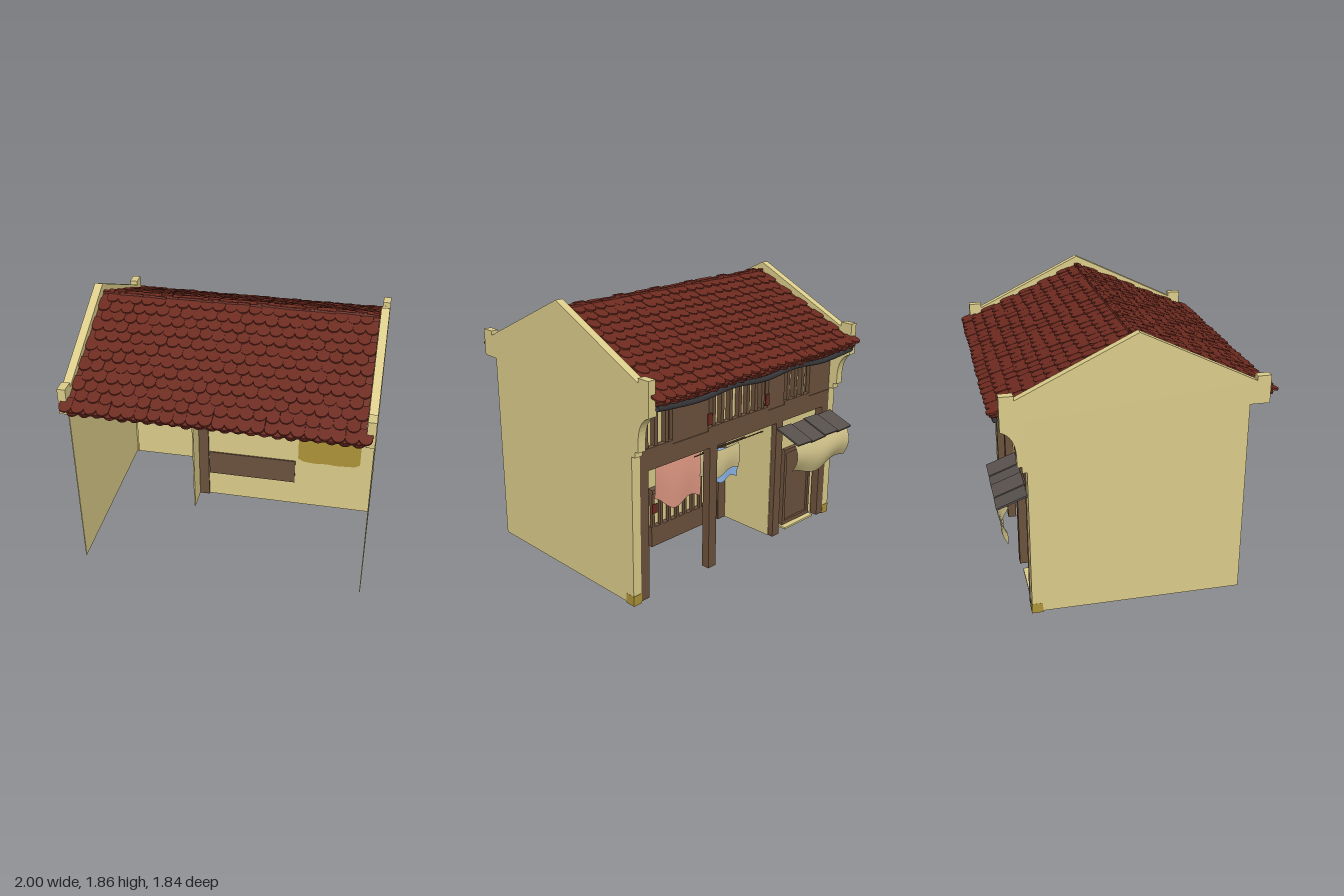
import * as THREE from 'three';
import { mergeGeometries } from 'three/addons/utils/BufferGeometryUtils.js';

const mat = (name, color) => {
  const m = new THREE.MeshStandardMaterial({ color, side: THREE.DoubleSide });
  m.name = name;
  return m;
};

export function createModel() {
  const model = new THREE.Group();
  const plaster = mat('plaster', 0xdacb89), wood = mat('brown wood', 0x6b513c);
  const tileRed = mat('roof tile red', 0x6c2a1f), gold = mat('ochre stain', 0xad9338);
  const pink = mat('pink cloth', 0xd8937e), blue = mat('blue cloth', 0x93c0f5);
  const canvas = mat('canvas cloth', 0xcfc189), iron = mat('gutter grey', 0x363639);
  const sheet = mat('awning grey', 0x57504c);

  let seed = 7;
  const rand = () => ((seed = (seed * 16807) % 2147483647) / 2147483647);
  const add = (name, geo, material) => {
    const m = new THREE.Mesh(geo, material);
    m.name = name;
    model.add(m);
    return m;
  };
  const boxGeo = (x0, x1, y0, y1, z0, z1) =>
    new THREE.BoxGeometry(x1 - x0, y1 - y0, z1 - z0).translate((x0 + x1) / 2, (y0 + y1) / 2, (z0 + z1) / 2);
  const box = (name, m, ...b) => add(name, boxGeo(...b), m);

  // Side walls: thin below, thick gable parapet above, corbel and pillar at the street end
  const gable = new THREE.Shape([
    [-0.845, 1.34], [0.845, 1.34], [0.845, 1.525], [0.755, 1.525], [0.755, 1.495], [0, 1.86],
    [-0.755, 1.495], [-0.755, 1.525], [-0.845, 1.525],
  ].map((p) => new THREE.Vector2(...p)));
  const corbel = new THREE.Shape();
  corbel.moveTo(-0.845, 1.34);
  corbel.lineTo(-0.845, 1.3);
  corbel.quadraticCurveTo(-0.755, 1.27, -0.75, 1.13);
  for (const p of [[-0.75, 1.06], [-0.72, 1.06], [-0.72, 1.02], [-0.65, 1.02], [-0.65, 1.34]]) corbel.lineTo(...p);
  const slice = (shape, depth, outer, s) =>
    new THREE.ExtrudeGeometry(shape, { depth, bevelEnabled: false, curveSegments: 8 })
      .rotateY(-Math.PI / 2).translate(s > 0 ? outer : -outer + depth, 0, 0);
  for (const s of [-1, 1]) {
    const span = (a, b) => (s > 0 ? [a, b] : [-b, -a]);
    box('sideWall', plaster, ...span(0.994, 1), 0.01, 1.34, -0.69, 0.715);
    add('gableParapet', slice(gable, 0.055, 1, s), plaster);
    add('corbel', slice(corbel, 0.06, 1, s), plaster);
    box('pillar', plaster, ...span(0.935, 1), 0.07, 1.02, -0.69, -0.62);
    box('pillarBase', gold, ...span(0.934, 1.001), 0, 0.07, -0.692, -0.619);
  }

  // Roof: overlapping round-ended tiles on a thin deck, one group per slope
  const slope = 0.417, rows = 12, step = 0.082, pitch = 0.082;
  const tile = new THREE.Shape();
  tile.moveTo(0.041, -0.075);
  tile.lineTo(0.041, 0);
  tile.absarc(0, 0, 0.041, 0, Math.PI, false);
  tile.lineTo(-0.041, -0.075);
  const tileGeo = new THREE.ExtrudeGeometry(tile, { depth: 0.013, bevelEnabled: false, curveSegments: 7 })
    .rotateX(Math.PI / 2);
  for (const s of [1, -1]) {
    const tiles = [];
    const lay = (r, n, lift) => {
      for (let i = 0; i < n; i++) {
        tiles.push(tileGeo.clone()
          .rotateY((rand() - 0.5) * 0.1)
          .rotateX(-0.1 + (rand() - 0.5) * 0.05)
          .translate((i - (n - 1) / 2) * pitch, lift + rand() * 0.006, (r + 1) * step - 0.038 + rand() * 0.01));
      }
    };
    for (let r = 0; r < rows; r++) lay(r, r === rows - 1 ? 24 : r % 2 ? 23 : 22, 0.012);
    lay(rows - 1, 23, -0.006);
    lay(rows - 1, 23, -0.024);
    const slopeGroup = new THREE.Group();
    slopeGroup.name = 'roofSlope';
    const laid = new THREE.Mesh(mergeGeometries(tiles), tileRed);
    laid.name = 'roofTiles';
    const deck = new THREE.Mesh(boxGeo(-0.942, 0.942, -0.025, 0, 0, 0.92), tileRed);
    deck.name = 'roofDeck';
    for (const m of [laid, deck]) m.rotation.x = slope;
    slopeGroup.add(laid, deck);
    slopeGroup.position.y = 1.797;
    slopeGroup.rotation.y = s > 0 ? 0 : Math.PI;
    model.add(slopeGroup);
    box('fascia', tileRed, -0.942, 0.942, 1.34, 1.42, s * 0.83 - 0.008, s * 0.83 + 0.008);
  }
  // Ridge tiles, a few standing proud
  const caps = [];
  for (let i = 0; i < 23; i++) {
    const x = (i - 11) * pitch, top = 1.808 + (i % 4 === 1 ? 0.015 : rand() * 0.006);
    caps.push(boxGeo(x - 0.038, x + 0.038, 1.78, top, -0.014, 0.014));
  }
  add('ridgeTiles', mergeGeometries(caps), tileRed);

  // Sagging gutter under the street eave
  const gutterPath = new THREE.CatmullRomCurve3(
    [-0.93, -0.6, -0.3, 0, 0.3, 0.6, 0.95].map((x, i) => new THREE.Vector3(x, i % 2 ? 1.33 : 1.352, -0.862)));
  add('gutter', new THREE.TubeGeometry(gutterPath, 28, 0.018, 6), iron);

  // Inner walls: shop front, partition and recessed porch wall
  box('shopWall', plaster, -0.98, -0.34, 0.01, 0.9, -0.615, -0.605);
  box('partition', plaster, -0.35, -0.34, 0.01, 0.9, -0.65, 0.02);
  box('porchWall', plaster, -0.34, 0.994, 0.01, 0.9, -0.175, -0.165);
  box('porchPost', wood, -0.34, -0.265, 0.01, 0.89, -0.22, -0.15);
  box('porchCeiling', wood, -0.93, 0.93, 0.885, 0.9, -0.66, -0.17);

  // Upper storey: beam, boards, screens of bars and inner lining
  box('mainBeam', wood, -0.935, 0.935, 0.89, 1.01, -0.69, -0.655);
  box('topRail', wood, -0.935, 0.935, 1.28, 1.4, -0.69, -0.655);
  box('innerBand', wood, -0.998, 0.998, 1.01, 1.3, -0.635, -0.625);
  const screens = [[0.66, 0.93], [-0.25, 0.34], [-0.7, -0.42]];
  const boards = [[0.34, 0.66], [-0.42, -0.25], [-0.935, -0.7]];
  for (const [a, b] of screens) {
    box('screenBack', plaster, a, b, 1.01, 1.28, -0.645, -0.637);
    box('screenRail', wood, a, b, 1.01, 1.035, -0.69, -0.655);
  }
  for (const [a, b] of boards) box('upperBoard', wood, a, b, 1.01, 1.28, -0.685, -0.655);
  for (const x of [-0.63, -0.55, -0.47, -0.2, -0.13, -0.05, 0.03, 0.12, 0.2, 0.28, 0.7, 0.79, 0.87])
    box('screenBar', wood, x - 0.014, x + 0.014, 0.93, 1.28, -0.68, -0.636);
  for (const x of [-0.24, 0.325]) box('redPlate', tileRed, x - 0.015, x + 0.025, 1.05, 1.13, -0.692, -0.686);
  for (const x of [-0.22, 0.385]) box('redPlate', tileRed, x - 0.025, x + 0.025, 0.28, 0.35, -0.224, -0.216);

  // Street posts
  for (const x of [-0.9, -0.38, 0.29, 0.9]) box('streetPost', wood, x - 0.035, x + 0.035, 0.01, 0.89, -0.69, -0.63);

  // Doors: leaf with raised frame on the street side, stained panel inside
  const door = (x0, x1, top, z, stainBottom) => {
    box('doorLeaf', wood, x0, x1, 0.03, top, z - 0.018, z - 0.004);
    for (const x of [x0, x1 - 0.025]) box('doorJamb', wood, x, x + 0.025, 0.03, top, z - 0.035, z - 0.018);
    for (const y of [0.03, top - 0.03]) box('doorRail', wood, x0, x1, y, y + 0.03, z - 0.035, z - 0.018);
    const stain = new THREE.Shape();
    stain.moveTo(x0, top);
    for (let i = 0; i <= 12; i++) {
      const t = i / 12;
      stain.lineTo(x0 + (x1 - x0) * t, stainBottom + 0.003 * Math.sin(t * 17) + 0.03 * Math.pow(Math.abs(2 * t - 1), 12));
    }
    stain.lineTo(x1, top);
    add('innerStain', new THREE.ShapeGeometry(stain).translate(0, 0, z + 0.008), gold);
  };
  door(-0.82, -0.51, 0.63, -0.61, 0.335);
  door(0.43, 0.9, 0.8, -0.17, 0.42);
  box('doorStep', plaster, -0.83, -0.5, 0.01, 0.025, -0.68, -0.615);

  // Porch window with railing
  box('windowApron', wood, -0.26, 0.41, 0.22, 0.42, -0.165, -0.155);
  box('lowerPanel', wood, -0.26, 0.41, 0.02, 0.17, -0.215, -0.175);
  box('handRail', wood, -0.26, 0.41, 0.43, 0.46, -0.225, -0.175);
  for (let i = 0; i < 9; i++) {
    const x = -0.24 + i * 0.079;
    box('baluster', wood, x - 0.012, x + 0.012, 0.17, 0.43, -0.215, -0.19);
  }

  // Awning of overlapping sheets
  for (let i = 0; i < 4; i++) {
    const panel = box('awningSheet', sheet, -0.08, 0.08, -0.006, 0.006, -0.105, 0.105);
    panel.position.set(-0.88 + i * 0.15, 0.8 + (i % 2) * 0.008, -0.785);
    panel.rotation.set(-0.36, 0, (i % 2 ? 1 : -1) * 0.04);
  }
  const ledge = new THREE.CatmullRomCurve3(
    [-0.95, -0.8, -0.7, -0.58, -0.46, -0.35].map((x, i) => new THREE.Vector3(x, i % 2 ? 0.855 : 0.862, -0.6)));
  add('awningEdge', new THREE.TubeGeometry(ledge, 20, 0.008, 5), iron);

  // Hanging cloths with folds, uneven hems and a skew across the porch
  const cloth = (name, m, x0, x1, y0, y1, z, skew, depth = 0.012) => {
    const g = new THREE.PlaneGeometry(1, 1, 14, 8);
    const p = g.attributes.position;
    for (let i = 0; i < p.count; i++) {
      const u = p.getX(i) + 0.5, v = 0.5 - p.getY(i);
      const hem = 1 - 0.16 * Math.pow(Math.sin(u * 4 + 0.8), 2);
      p.setXYZ(i, x0 + (x1 - x0) * u, y1 - (y1 - y0) * v * hem - 0.02 * Math.sin(u * Math.PI),
        z + skew * (u - 0.5) * (x1 - x0) - depth * Math.sin(v * 3) + 0.006 * v * Math.sin(u * 9));
    }
    g.computeVertexNormals();
    add(name, g, m);
  };
  cloth('awningCurtain', canvas, -0.98, -0.4, 0.5, 0.78, -0.805, 0.03, 0.05);
  cloth('pinkCloth', pink, 0.68, 0.99, 0.36, 0.71, -0.4, 0);
  cloth('pinkSheet', pink, 0.08, 0.4, 0.33, 0.76, -0.3, 0.4);
  cloth('canvasCloth', canvas, -0.07, 0.28, 0.6, 0.8, -0.57, 0.1);
  cloth('blueCloth', blue, -0.2, -0.02, 0.44, 0.71, -0.4, 0.6);

  // Clothes lines
  for (const [x0, x1, y, z] of [[0.68, 0.99, 0.71, -0.4], [-0.34, 0.35, 0.8, -0.57], [-0.34, 0.1, 0.71, -0.4]])
    box('clothesLine', wood, x0, x1, y - 0.003, y + 0.003, z - 0.003, z + 0.003);

  return model;
}
